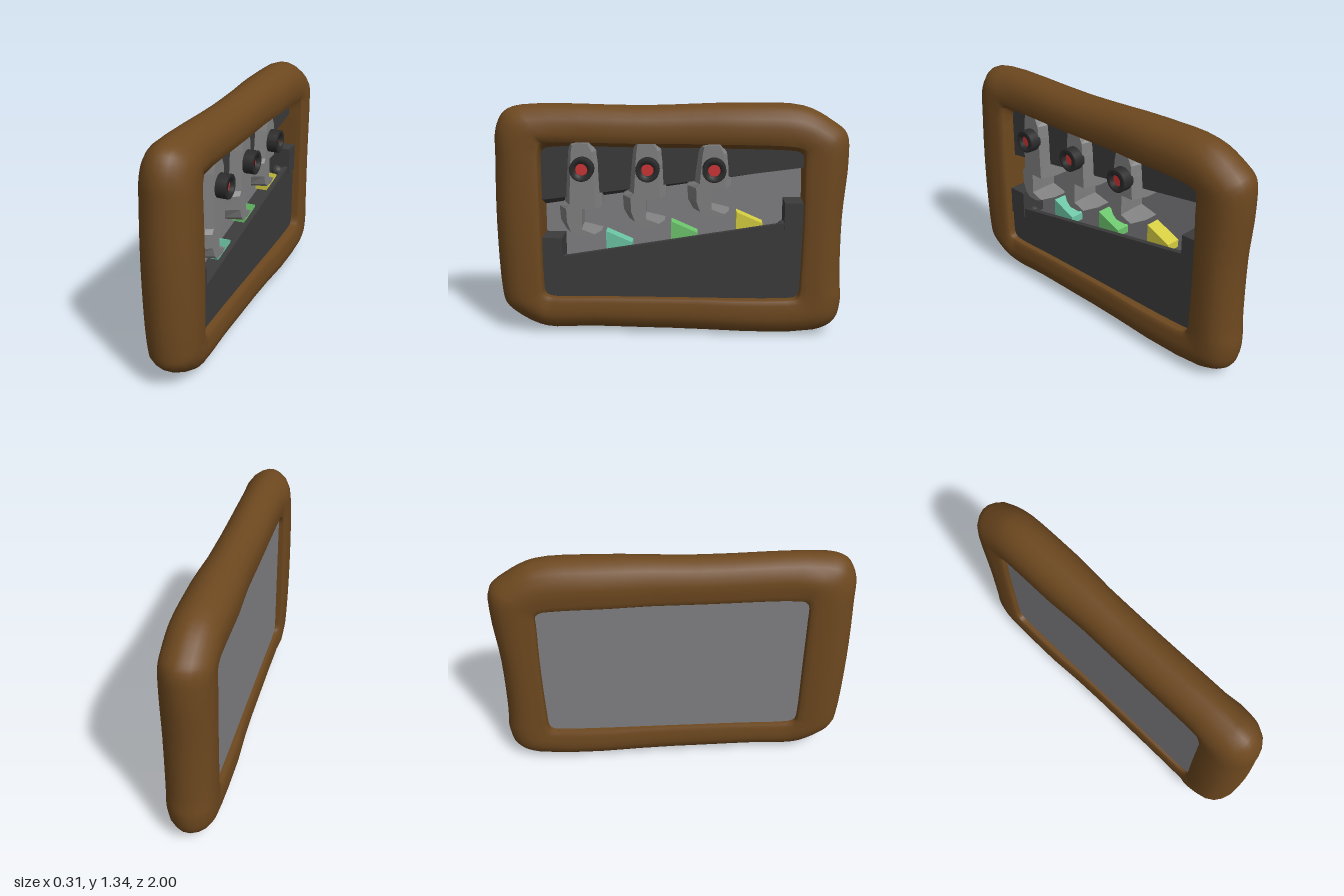
import * as THREE from 'three';

const { smoothstep } = THREE.MathUtils;
const mat = (name, color) => {
  const m = new THREE.MeshStandardMaterial({ color });
  m.name = name;
  return m;
};

export function createModel() {
  const group = new THREE.Group();
  const brown = mat('brown', 0x6d481f), dark = mat('dark grey', 0x3b3b3b);
  const grey = mat('panel grey', 0x7f7f82), steel = mat('claw grey', 0x808080);
  const black = mat('knob black', 0x2b2b2b), red = mat('red', 0xcc3434);
  const teal = mat('teal', 0x6cc4a4), green = mat('green', 0x6cc46c), yellow = mat('yellow', 0xd4cc40);
  black.side = THREE.DoubleSide;

  const add = (name, geo, material, parent = group) => {
    const mesh = new THREE.Mesh(geo, material);
    mesh.name = name;
    parent.add(mesh);
  };

  // Slab from an outline seen from +x: u runs towards -z, v is up
  const slab = (pts, x0, x1, steps = 1) => {
    const shape = new THREE.Shape(pts.map(([u, v]) => new THREE.Vector2(u, v)));
    const geo = new THREE.ExtrudeGeometry(shape, { depth: x1 - x0, bevelEnabled: false, steps });
    geo.translate(0, 0, x0);
    return geo.rotateY(Math.PI / 2);
  };

  // Soft, slightly uneven frame: outer and inner loops share their order [z, y]
  const outer = [[1, .64], [.99, 1.02], [.98, 1.19], [.93, 1.285], [.83, 1.32], [.14, 1.318],
    [-.4, 1.335], [-.745, 1.32], [-.905, 1.24], [-.985, 1.17], [-1, 1.02], [-.98, .69],
    [-.985, .32], [-.995, .2], [-.965, .075], [-.85, .01], [0, .005], [.46, .012],
    [.73, .01], [.89, .085], [.97, .16], [.987, .24]];
  const inner = [[.728, .64], [.728, .95], [.726, 1.045], [.712, 1.075], [.68, 1.088], [.14, 1.088],
    [-.35, 1.085], [-.66, 1.078], [-.72, 1.07], [-.745, 1.05], [-.75, .95], [-.755, .69],
    [-.75, .34], [-.745, .26], [-.725, .23], [-.66, .22], [0, .217], [.4, .217],
    [.66, .215], [.705, .225], [.722, .245], [.728, .3]];
  const loop = (pts) => new THREE.CatmullRomCurve3(
    pts.map(([z, y]) => new THREE.Vector3(0, y, z)), true, 'centripetal');
  const outCurve = loop(outer), inCurve = loop(inner);
  // Half section: [0 inner .. 1 outer, share of half width]
  const half = [[0, .35], [0, .86], [.03, .92], [.14, .97], [.34, 1], [.52, 1],
    [.7, .9], [.85, .7], [.95, .42], [1, .14]];
  const section = [...half, ...half.map(([t, x]) => [t, -x]).reverse()];
  const steps = 88, n = section.length, pos = [], index = [];
  for (let i = 0; i < steps; i++) {
    const o = outCurve.getPoint(i / steps), p = inCurve.getPoint(i / steps);
    section.forEach(([t, sx], j) => {
      const q = p.clone().lerp(o, t);
      // The front rail bulges at mid height, the rear is a little thicker than the middle
      const bulge = Math.sqrt(Math.max(0, Math.sin(Math.PI * q.y / 1.33)));
      const width = .12 + .025 * smoothstep(q.z, .69, .75) * bulge + .014 * smoothstep(-q.z, .1, .4);
      // Wide slanted edge under the top rail
      if (t < .1 && sx > .5) q.y += .05 * smoothstep(p.y, 1.0, 1.08);
      pos.push(sx * width - .01, q.y, q.z);
      const a = i * n + j, b = ((i + 1) % steps) * n + j;
      const k = (j + 1) % n, c = i * n + k, d = ((i + 1) % steps) * n + k;
      index.push(a, b, c, b, d, c);
    });
  }
  const frameGeo = new THREE.BufferGeometry();
  frameGeo.setAttribute('position', new THREE.Float32BufferAttribute(pos, 3));
  frameGeo.setIndex(index);
  frameGeo.computeVertexNormals();
  add('frame', frameGeo, brown);

  // Back panel, sloping lower plate and the floor behind it
  add('backPanel', slab([[-.77, .18], [.79, .18], [.79, 1.13], [-.77, 1.13]], -.102, -.085), grey);
  add('lowerPlate', slab([[-.76, .2], [.77, .2], [.77, .686], [-.76, .432]], .035, .065), dark);
  add('floor', slab([[-.76, .2], [.77, .2], [.77, .59], [-.76, .336]], -.088, .035), dark);

  // Upper panel, its lower front edge cut back on a slant
  const upper = slab([[-.76, .728], [.77, .963], [.77, 1.12], [-.76, 1.12]], -.088, .03);
  const up = upper.attributes.position;
  for (let i = 0; i < up.count; i++) {
    if (up.getX(i) > 0 && up.getY(i) < 1) up.setY(i, up.getY(i) + (up.getZ(i) > 0 ? .05 : .02));
  }
  upper.computeVertexNormals();
  add('upperPanel', upper, dark);

  // End blocks with round stops
  for (const [name, z, y, w, s] of [['frontBlock', .675, .483, .12, -1], ['rearBlock', -.705, .7, .11, 1]]) {
    const block = new THREE.BoxGeometry(.17, .168, w);
    block.translate(-.012, y, z);
    add(name, block, dark);
    const ball = new THREE.SphereGeometry(.037, 16, 10);
    ball.translate(-.005, y - .07, z + s * w / 2);
    add(name + 'Stop', ball, dark);
  }

  // Claws: the jaw hangs lower by its own drop, the front half narrows towards the knob
  const claw = (z, drop, top) => {
    const g = new THREE.Group();
    g.name = 'claw';
    const b = .98 - drop;
    const pts = [[-.115, b + .03], [-.145, b + .085], [-.15, b + .165], [-.12, b + .19],
      [-.098, 1.06], [-.085, top - .01], [-.04, top], [.045, top], [.08, top - .05],
      [.088, 1], [.098, b + .165], [-.015, b + .165], [-.02, b + .045], [.09, b + .018],
      [.03, b], [-.07, b + .004]];
    const body = slab(pts, -.088, .092, 2);
    const bp = body.attributes.position;
    for (let i = 0; i < bp.count; i++) if (bp.getX(i) > .05) bp.setZ(i, bp.getZ(i) * .66);
    body.computeVertexNormals();
    add('clawBody', body, steel, g);
    // Hollow round knob with a coloured centre
    const ring = new THREE.LatheGeometry([[.066, 0], [.066, .067], [.062, .07], [.036, .07], [.033, .04]]
      .map(([r, h]) => new THREE.Vector2(r, h)), 24);
    const knob = new THREE.Group();
    knob.name = 'knob';
    knob.rotation.z = -Math.PI / 2;
    knob.position.set(.083, .98, 0);
    add('knobRing', ring, black, knob);
    const centre = new THREE.CylinderGeometry(.034, .034, .01, 24);
    centre.translate(0, .045, 0);
    add('knobCentre', centre, red, knob);
    g.add(knob);
    g.position.z = z;
    group.add(g);
  };
  claw(.483, .4, 1.12);
  claw(.118, .335, 1.128);
  claw(-.25, .275, 1.113);

  // Coloured wedges resting on the sloping plate
  for (const [name, u, y, m] of [['tealWedge', -.365, .602, teal],
    ['greenWedge', .01, .663, green], ['yellowWedge', .38, .722, yellow]]) {
    add(name, slab([[u, y], [u, y - .12], [u + .15, y - .11], [u + .15, y - .066]], -.05, .034), m);
  }

  return group;
}
